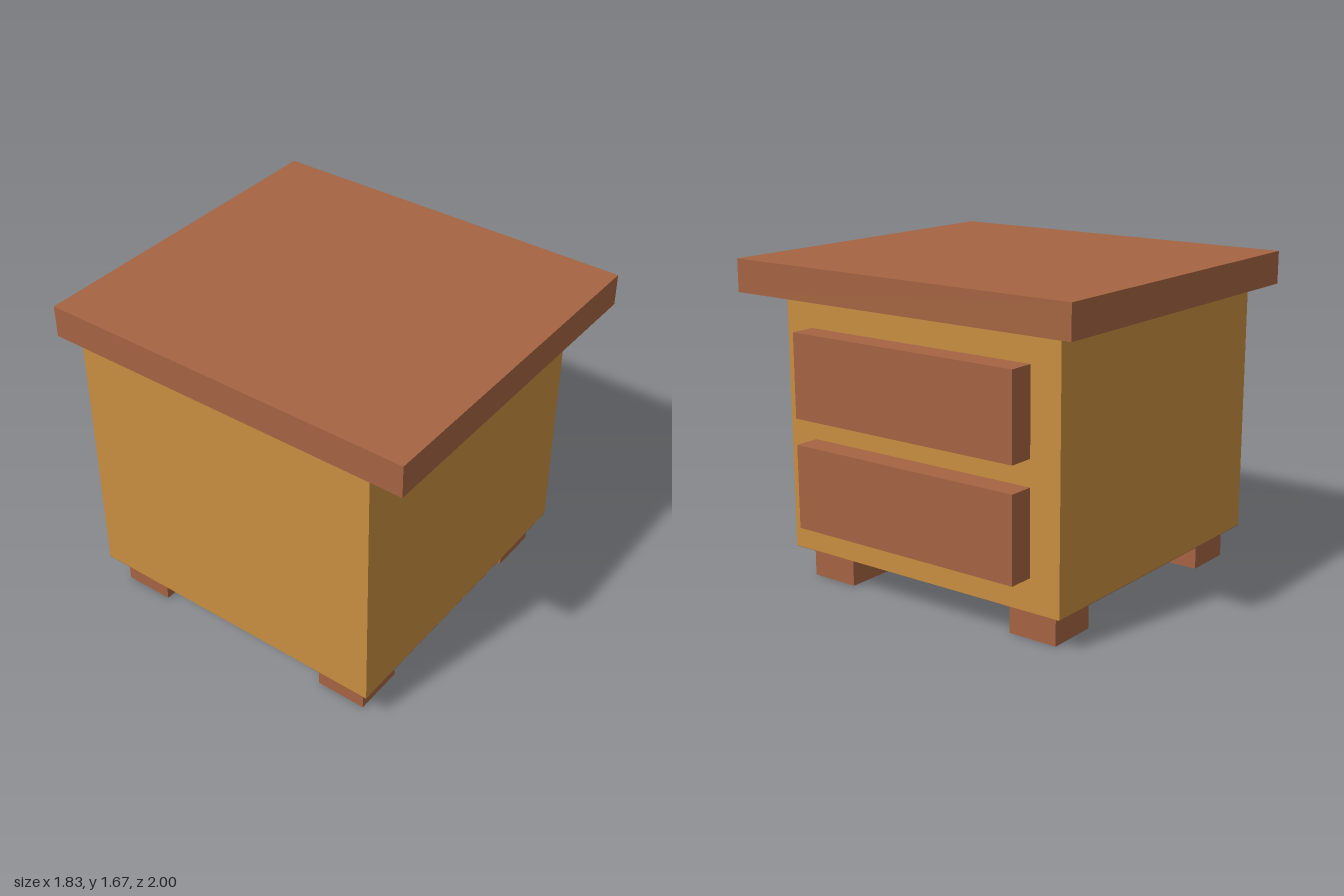
import * as THREE from 'three';

const brown = new THREE.MeshStandardMaterial({ color: 0xa56442 });
const gold = new THREE.MeshStandardMaterial({ color: 0xc88e40 });

// Box given by its extents along each axis
function box(name, [x0, x1], [y0, y1], [z0, z1], material) {
  const mesh = new THREE.Mesh(new THREE.BoxGeometry(x1 - x0, y1 - y0, z1 - z0), material);
  mesh.position.set((x0 + x1) / 2, (y0 + y1) / 2, (z0 + z1) / 2);
  mesh.name = name;
  return mesh;
}

export function createModel() {
  const group = new THREE.Group();
  group.name = 'bedsideCabinet';

  // Cabinet body and overhanging top
  group.add(box('body', [-0.917, 0.75], [0.167, 1.5], [-0.833, 0.833], gold));
  group.add(box('top', [-0.917, 0.917], [1.5, 1.667], [-1, 1], brown));

  // Two drawer fronts on the +x side
  for (const [name, y] of [['lowerDrawer', 0.333], ['upperDrawer', 0.9]]) {
    group.add(box(name, [0.75, 0.883], [y, y + 0.433], [-0.667, 0.667], brown));
  }

  // Underside strips and the feet below them, mirrored front to back
  for (const [end, s] of [['front', 1], ['back', -1]]) {
    const span = (a, b) => (s > 0 ? [a, b] : [-b, -a]);
    group.add(box(end + 'UndersideStrip', [-0.917, 0.75], [0.165, 0.168], span(0.5, 0.833), brown));
    for (const [side, x] of [['Right', -0.85], ['Left', 0.417]]) {
      group.add(box(end + side + 'Foot', [x, x + 0.267], [0, 0.167], span(0.5, 0.767), brown));
    }
  }
  return group;
}
